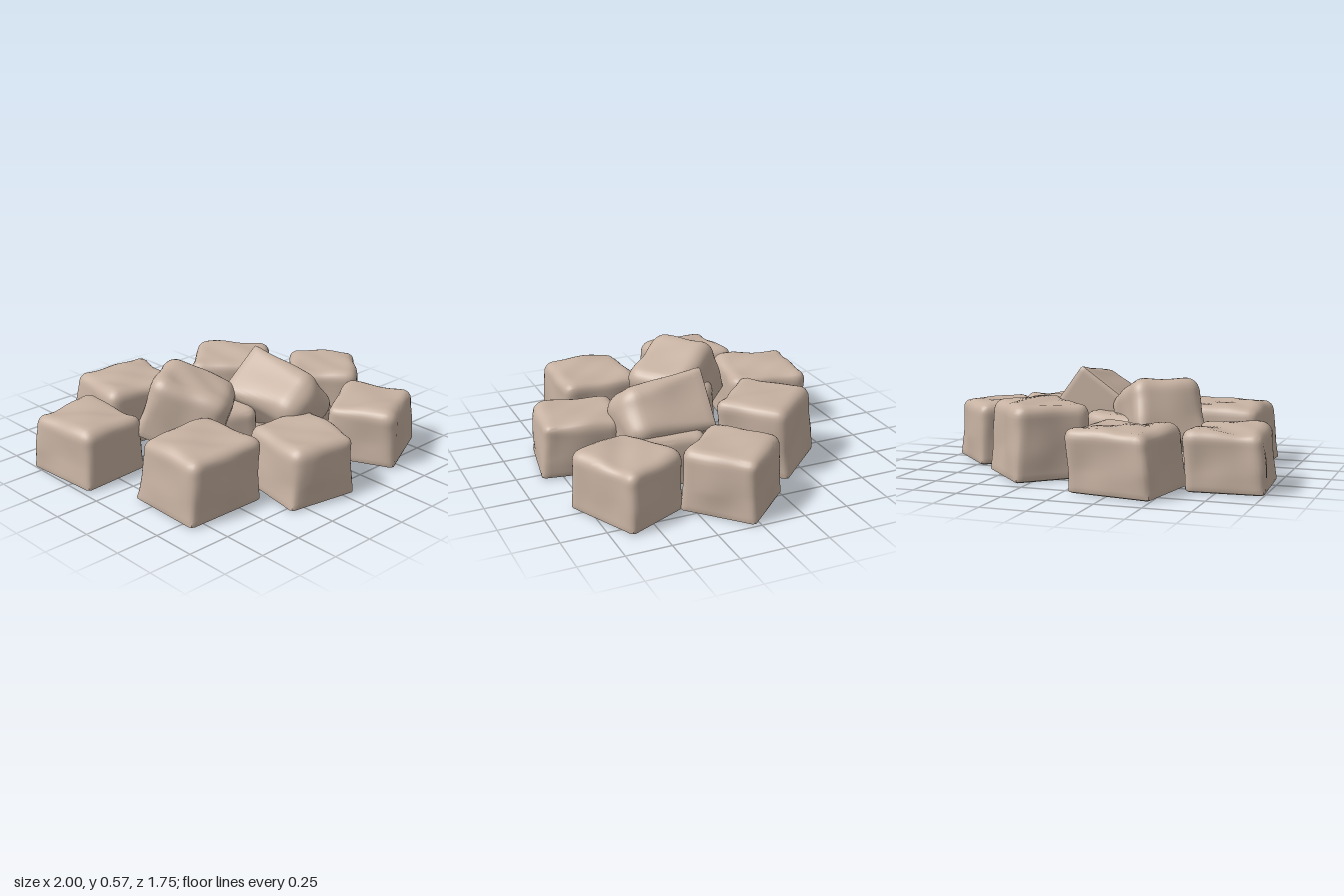
import * as THREE from 'three';
import { mergeVertices, toCreasedNormals } from 'three/addons/utils/BufferGeometryUtils.js';

const rad = THREE.MathUtils.degToRad;

// Worn cube: rounded edges (tighter at the base), small foot lip, leaning top, soft lumps
function stoneGeometry(w, h, d, seed, leanX, leanZ, topRadius) {
  const N = 18;
  let geo = new THREE.BoxGeometry(w, h, d, N, N, N);
  geo.deleteAttribute('normal');
  geo.deleteAttribute('uv');
  geo = mergeVertices(geo, 1e-4);
  const pos = geo.attributes.position;
  const p = new THREE.Vector3(), core = new THREE.Vector3(), out = new THREE.Vector3();
  for (let i = 0; i < pos.count; i++) {
    p.fromBufferAttribute(pos, i);
    const t = p.y / h + 0.5;
    const r = THREE.MathUtils.lerp(0.025, topRadius, Math.min(1, t * 1.4));
    const limit = (v, half) => THREE.MathUtils.clamp(v, r - half, half - r);
    core.set(limit(p.x, w / 2), limit(p.y, h / 2), limit(p.z, d / 2));
    out.subVectors(p, core).normalize();
    p.copy(core).addScaledVector(out, r);
    // lumps along the outward direction, fading towards the flat base
    const lump = Math.sin(p.x * 13 + seed * 1.7) * Math.sin(p.z * 12 + seed * 2.3)
      + 0.8 * Math.sin(p.y * 15 + p.x * 9 + seed) * Math.cos(p.z * 10 - seed)
      + 0.4 * Math.sin(p.x * 27 - p.z * 23 + seed * 3.1);
    p.addScaledVector(out, 0.008 * lump * Math.min(1, t * 2.5));
    // slight taper, foot lip and leaning top
    const flare = 1.005 - 0.015 * t + 0.025 * Math.exp(-t * 14);
    p.x = p.x * flare + leanX * (t - 0.5);
    p.z = p.z * flare + leanZ * (t - 0.5);
    pos.setXYZ(i, p.x, p.y, p.z);
  }
  return toCreasedNormals(geo, rad(42));
}

export function createModel() {
  const group = new THREE.Group();
  group.name = 'stonePile';
  const stone = new THREE.MeshStandardMaterial({ color: 0xc6b1a1 });
  stone.name = 'warm grey stone';

  function addStone(name, seed, [x, y, z], [w, h, d], [pitch, yaw, roll], [lx, lz], topRadius) {
    const mesh = new THREE.Mesh(stoneGeometry(w, h, d, seed, lx, lz, topRadius), stone);
    mesh.name = name;
    mesh.position.set(x, y, z);
    mesh.rotation.set(rad(pitch), rad(yaw), rad(roll), 'YZX');
    group.add(mesh);
  }

  // Stones standing on the ground: name, x, z, width, height, depth, yaw, lean
  const ground = [
    ['backRightStone', -0.285, -0.62, 0.47, 0.335, 0.45, -9, [0.03, -0.01]],
    ['backLeftStone', 0.31, -0.365, 0.45, 0.405, 0.42, -47, [0.02, 0.02]],
    ['leftStone', 0.705, 0.03, 0.41, 0.35, 0.42, -47, [0, 0]],
    ['frontLeftStone', 0.545, 0.555, 0.45, 0.325, 0.40, 25, [-0.01, -0.01]],
    ['frontStone', -0.085, 0.61, 0.41, 0.325, 0.45, -10, [0.03, -0.01]],
    ['frontRightStone', -0.58, 0.355, 0.48, 0.35, 0.455, -1, [0.03, 0]],
    ['rightStone', -0.775, -0.35, 0.41, 0.32, 0.46, 4, [0.02, -0.01]],
    ['centreRightStone', -0.12, -0.02, 0.41, 0.32, 0.39, -31, [0, 0]],
    ['centreLeftStone', 0.23, 0.21, 0.39, 0.29, 0.38, -8, [0, 0]],
  ];
  ground.forEach(([name, x, z, w, h, d, yaw, lean], i) =>
    addStone(name, i + 1, [x, h / 2, z], [w, h, d], [0, yaw, 0], lean, 0.055));

  // Tilted stones resting on the middle; the left one lies with its foot to the back
  addStone('upperRightStone', 11, [-0.285, 0.305, -0.07], [0.46, 0.37, 0.40], [0, -51, -19], [0, 0], 0.08);
  addStone('upperLeftStone', 12, [0.16, 0.32, 0.22], [0.345, 0.49, 0.345], [90, 3, 36], [-0.02, 0.02], 0.1);
  return group;
}
